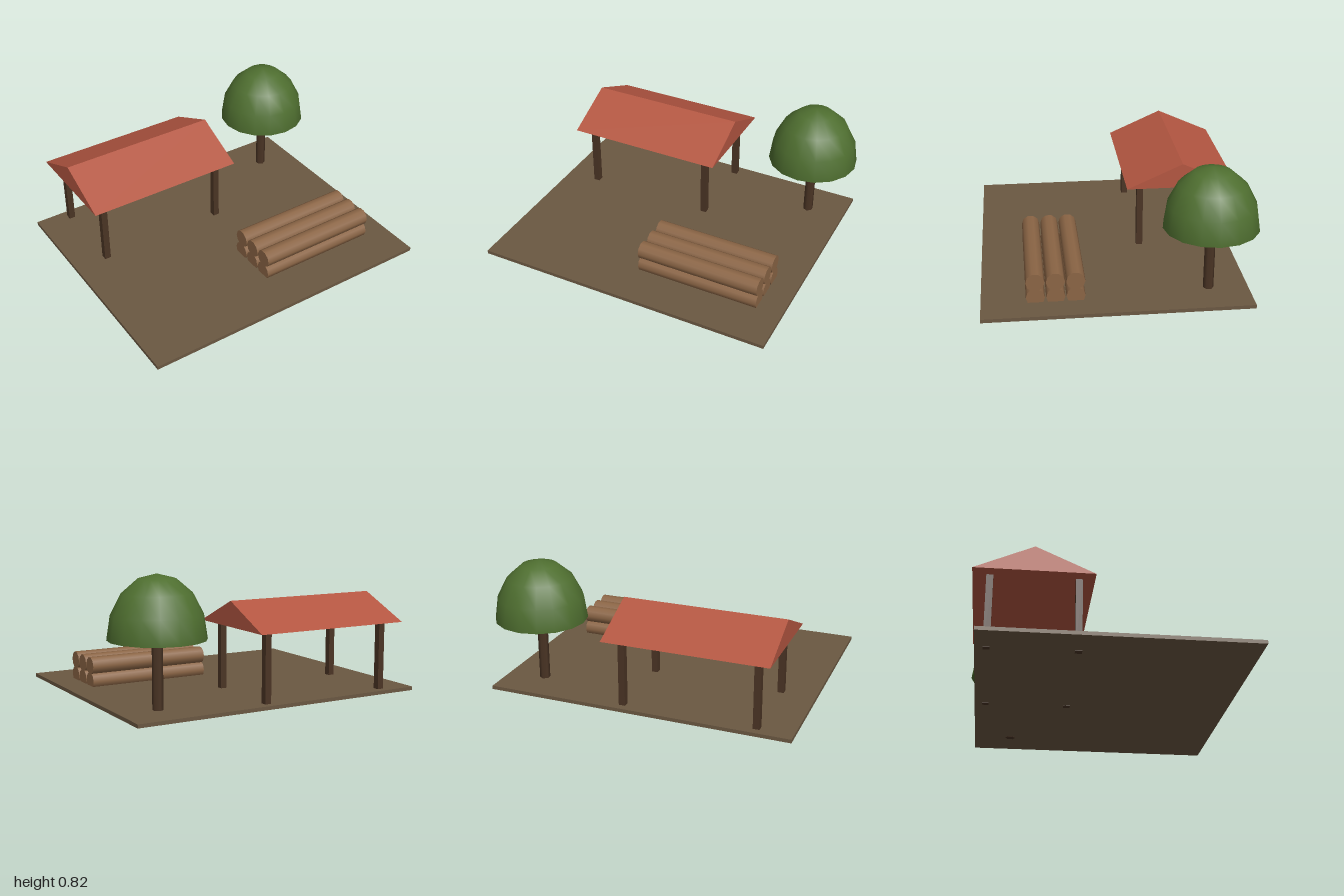
import * as THREE from 'three';

const material = (name, color) => {
  const m = new THREE.MeshStandardMaterial({ color });
  m.name = name;
  return m;
};

export function createModel() {
  const earth = material('earth', 0x6b5842);
  const darkWood = material('dark wood', 0x4a3424);
  const logWood = material('log wood', 0x8b6545);
  const roofRed = material('roof red', 0xb35641);
  const leafGreen = material('leaf green', 0x4f6f30);

  const model = new THREE.Group();
  model.name = 'woodYard';
  const add = (name, geometry, mat, x, y, z, parent = model) => {
    const mesh = new THREE.Mesh(geometry, mat);
    mesh.name = name;
    mesh.position.set(x, y, z);
    parent.add(mesh);
    return mesh;
  };
  const group = (name) => {
    const g = new THREE.Group();
    g.name = name;
    model.add(g);
    return g;
  };

  // Ground slab
  add('ground', new THREE.BoxGeometry(1.95, 0.023, 1.625), earth, -0.025, 0.0145, 0.0225);

  // Open shelter: four posts and a solid gable roof
  const shelter = group('shelter');
  const post = new THREE.BoxGeometry(0.041, 0.46, 0.041);
  for (const x of [-0.776, 0.073]) {
    for (const z of [-0.723, -0.203]) add('post', post, darkWood, x, 0.23, z, shelter);
  }
  const gable = new THREE.Shape([
    new THREE.Vector2(-0.357, 0),
    new THREE.Vector2(0.357, 0),
    new THREE.Vector2(0, 0.16),
  ]);
  const roof = new THREE.ExtrudeGeometry(gable, { depth: 1.04, bevelEnabled: false });
  roof.translate(0, 0, -0.52).rotateY(Math.PI / 2);
  add('roof', roof, roofRed, -0.35, 0.46, -0.467, shelter);

  // Log stack: two layers of three
  const logs = group('logStack');
  const log = new THREE.CylinderGeometry(0.057, 0.057, 0.81, 10).rotateZ(Math.PI / 2);
  for (const y of [0.059, 0.157]) {
    for (const z of [0.268, 0.389, 0.51]) add('log', log, logWood, 0.38, y, z, logs);
  }

  // Tree: six-sided trunk, domed crown with a closed underside
  const tree = group('tree');
  add('trunk', new THREE.CylinderGeometry(0.0325, 0.0325, 0.46, 6), darkWood, 0.705, 0.23, -0.546, tree);
  const dome = new THREE.SphereGeometry(0.291, 16, 4, 0, Math.PI * 2, 0, Math.PI / 2).scale(1, 1.3, 1);
  add('crown', dome, leafGreen, 0.705, 0.441, -0.547, tree);
  const underside = new THREE.CircleGeometry(0.291, 16).rotateX(Math.PI / 2);
  add('crownUnderside', underside, leafGreen, 0.705, 0.441, -0.547, tree);

  return model;
}
